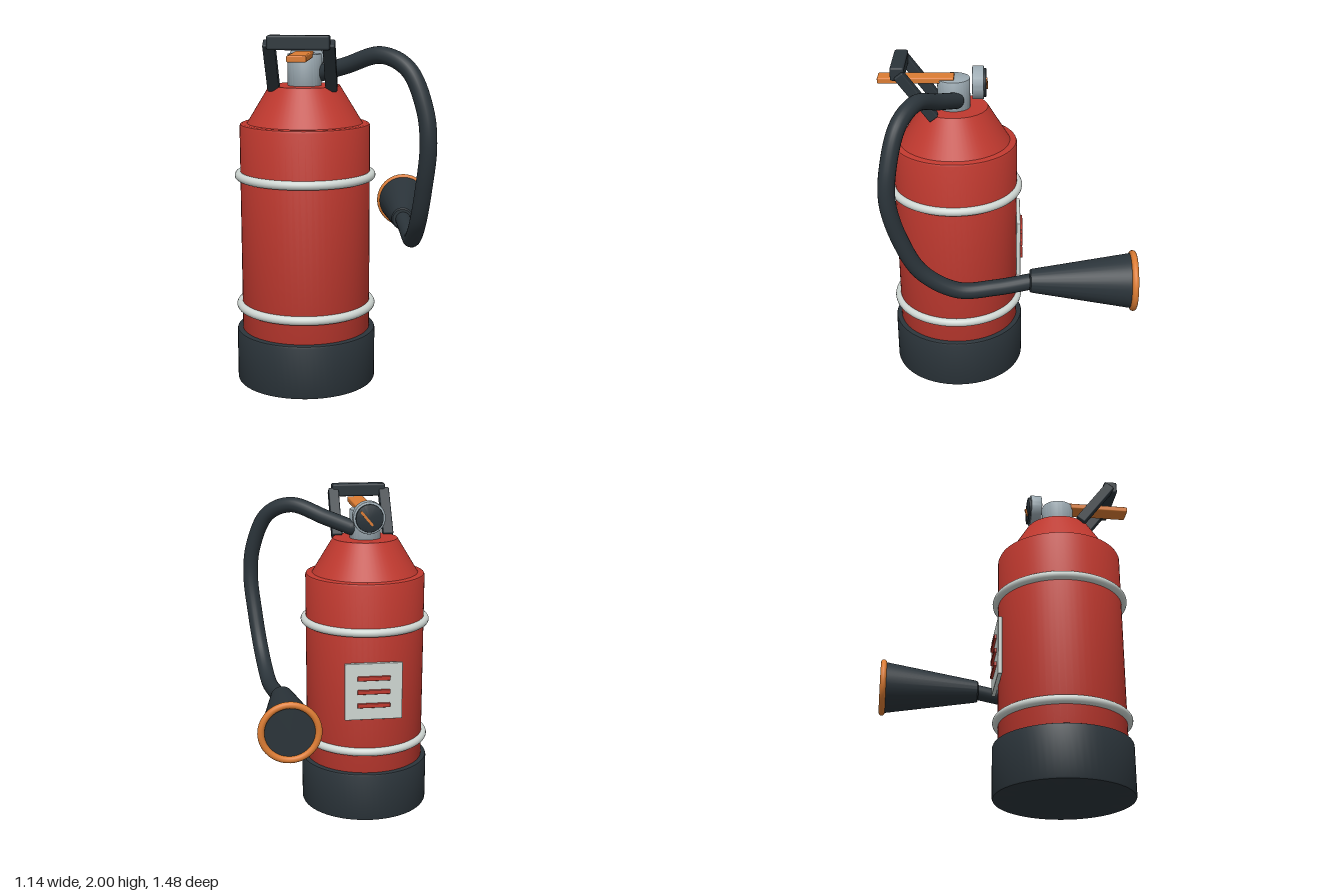
import * as THREE from 'three';
import { toCreasedNormals } from 'three/addons/utils/BufferGeometryUtils.js';
import { RoundedBoxGeometry } from 'three/addons/geometries/RoundedBoxGeometry.js';

const mat = (name, color) => {
  const m = new THREE.MeshStandardMaterial({ color });
  m.name = name;
  return m;
};

export function createModel() {
  const red = mat('red paint', 0xc0392f);
  const dark = mat('dark rubber', 0x2b343a);
  const metal = mat('grey metal', 0x9caab2);
  const light = mat('light trim', 0xced6d2);
  const orange = mat('orange', 0xdc7c33);

  const model = new THREE.Group();
  const CX = -0.175, CZ = 0.305; // axis of the tank

  const add = (name, geometry, material, x = 0, y = 0, z = 0) => {
    const mesh = new THREE.Mesh(geometry, material);
    mesh.name = name;
    mesh.position.set(x, y, z);
    model.add(mesh);
    return mesh;
  };
  // Turned part with sharp edges kept
  const lathe = (points) => toCreasedNormals(
    new THREE.LatheGeometry(points.map(([r, y]) => new THREE.Vector2(r, y)), 64), 0.45);
  // Solid drum with small bevels at both rims
  const drum = (r, y0, y1, b) => lathe([
    [0, y0], [r - b, y0], [r - b * 0.3, y0 + b * 0.3], [r, y0 + b],
    [r, y1 - b], [r - b * 0.3, y1 - b * 0.3], [r - b, y1], [0, y1]]);
  const box = (w, h, d, r = 0.008) => new RoundedBoxGeometry(w, h, d, 2, r);

  // Tank
  add('base', drum(0.4, 0, 0.31, 0.012), dark, CX, 0, CZ);
  add('tank', drum(0.368, 0.29, 1.5, 0.015), red, CX, 0, CZ);
  add('shoulder', lathe([[0, 1.49], [0.332, 1.49], [0.198, 1.71], [0, 1.71]]), red, CX, 0, CZ);
  for (const y of [0.45, 1.205]) {
    const band = add('band', new THREE.TorusGeometry(0.375, 0.025, 16, 80), light, CX, y, CZ);
    band.rotation.x = Math.PI / 2;
  }

  // Valve neck and lever
  add('neck', drum(0.095, 1.7, 1.885, 0.003), metal, CX, 0, CZ);
  add('lever', box(0.104, 0.036, 0.44), orange, CX, 1.882, 0.522);

  // Carrying handle
  for (const side of [-1, 1]) {
    const arm = add('handleArm', box(0.065, 0.325, 0.06), dark, CX + side * 0.16, 1.83, 0.51);
    arm.rotation.x = 0.64;
  }
  add('handleGrip', box(0.336, 0.078, 0.08, 0.012), dark, CX, 1.961, 0.614);

  // Pressure gauge facing the back
  const dial = (name, r, z0, z1, material) => {
    const g = add(name, drum(r, 0, z0 - z1, 0.004), material, CX, 1.855, z0);
    g.rotation.x = -Math.PI / 2;
  };
  dial('gaugeBody', 0.097, 0.196, 0.13, metal);
  dial('gaugeFace', 0.083, 0.135, 0.116, dark);
  const needle = add('gaugeNeedle', new THREE.BoxGeometry(0.014, 0.11, 0.009), orange, -0.157, 1.855, 0.112);
  needle.rotation.z = -0.7;

  // Hose
  const path = new THREE.CatmullRomCurve3([
    [-0.09, 1.775, 0.29], [0.06, 1.825, 0.38], [0.26, 1.89, 0.495], [0.405, 1.82, 0.58],
    [0.495, 1.61, 0.635], [0.515, 1.42, 0.645], [0.495, 1.185, 0.59], [0.465, 0.96, 0.48],
    [0.435, 0.825, 0.28], [0.41, 0.825, 0.07], [0.38, 0.853, -0.16],
  ].map((p) => new THREE.Vector3(...p)));
  add('hose', new THREE.TubeGeometry(path, 100, 0.047, 20), dark);
  add('hoseEnd', new THREE.SphereGeometry(0.047, 20, 14), dark, -0.09, 1.775, 0.29);

  // Discharge horn pointing backwards
  const horn = add('horn', lathe([[0, 0], [0.06, 0], [0.068, 0.008], [0.16, 0.59], [0, 0.59]]),
    dark, 0.38, 0.853, -0.13);
  horn.rotation.x = -Math.PI / 2;
  add('hornRim', new THREE.TorusGeometry(0.156, 0.019, 14, 56), orange, 0.38, 0.853, -0.722);

  // Label plate with printed bars on the back
  add('labelPlate', box(0.35, 0.355, 0.025, 0.004), light, CX, 0.845, -0.072);
  for (const y of [0.76, 0.845, 0.93]) {
    add('labelBar', box(0.2, 0.027, 0.02, 0.004), red, CX, y, -0.089);
  }
  return model;
}
